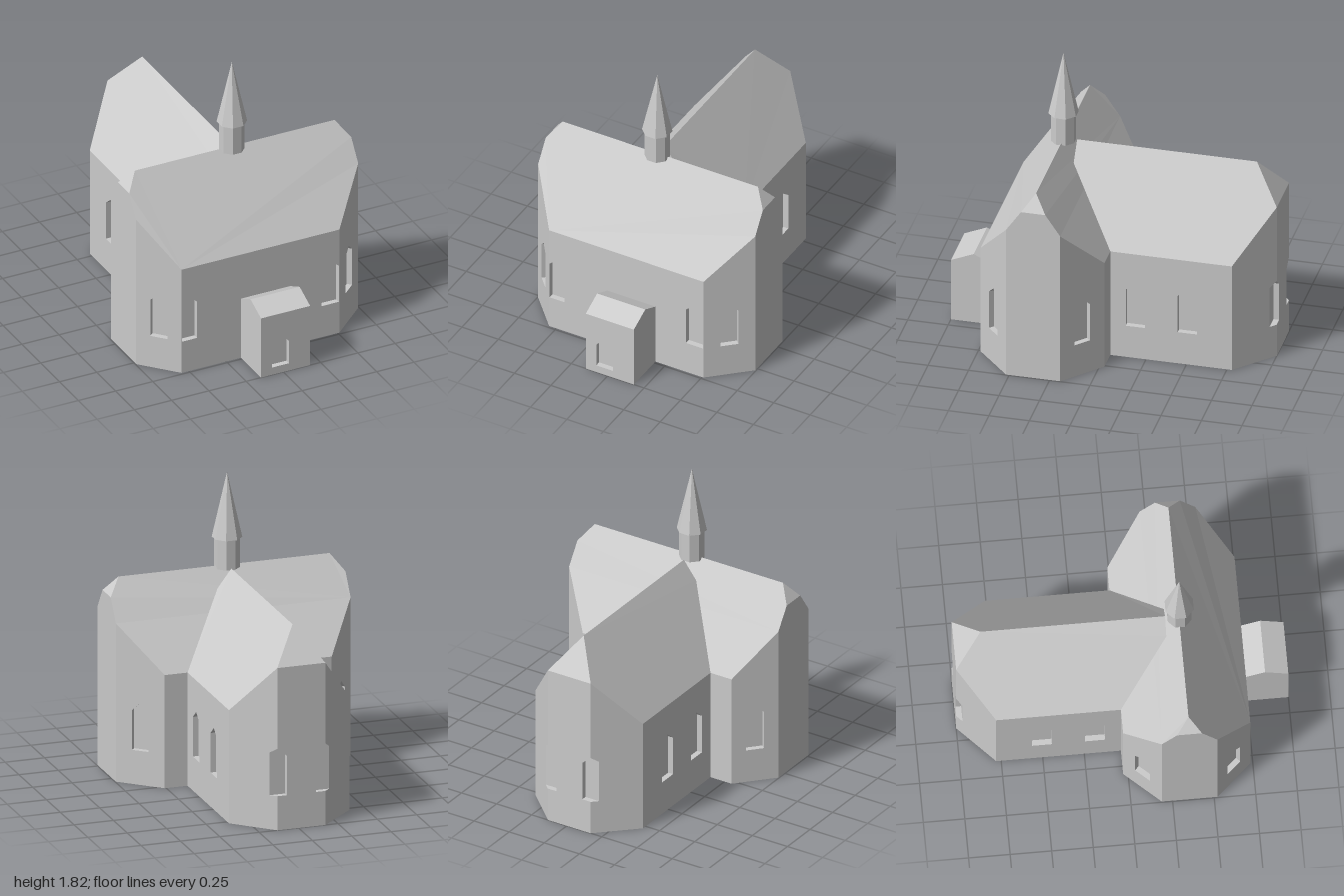
import * as THREE from 'three';

const stone = new THREE.MeshStandardMaterial({ color: 0xcccccc });
stone.name = 'pale stone';

const DEPTH = 0.035;               // window recess
const SILL = 0.215, SHOULDER = 0.465, PEAK = 0.515, HALF = 0.06;

function addMesh(group, name, geometry) {
  const mesh = new THREE.Mesh(geometry, stone);
  mesh.name = name;
  group.add(mesh);
  return mesh;
}

// Flat-shaded geometry from convex polygons, corners counter-clockwise from outside
function polygons(list) {
  const pos = [];
  for (const p of list) {
    for (let i = 1; i < p.length - 1; i++) pos.push(...p[0], ...p[i], ...p[i + 1]);
  }
  const g = new THREE.BufferGeometry();
  g.setAttribute('position', new THREE.Float32BufferAttribute(pos, 3));
  g.computeVertexNormals();
  return g;
}

// Reveals and back plate of a recess
function recess(outer, inner, closed) {
  const faces = [inner], n = outer.length;
  for (let i = 0; i < (closed ? n : n - 1); i++) {
    const j = (i + 1) % n;
    faces.push([outer[i], outer[j], inner[j], inner[i]]);
  }
  return polygons(faces);
}

function pointedArch({ u, half = HALF, sill = SILL, shoulder = SHOULDER, peak = PEAK }) {
  return [[u - half, sill], [u + half, sill], [u + half, shoulder], [u, peak], [u - half, shoulder]];
}

// Upright wall from a to b ([x, z, height], left to right from outside)
function addWall(group, name, a, b, { top = [], windows = [], notchL, notchR } = {}) {
  const dx = b[0] - a[0], dz = b[1] - a[1], L = Math.hypot(dx, dz);
  const right = new THREE.Vector3(dx / L, 0, dz / L);
  const up = new THREE.Vector3(0, 1, 0);
  const out = new THREE.Vector3().crossVectors(right, up);
  const m = new THREE.Matrix4().makeBasis(right, up, out).setPosition(a[0], 0, a[1]);
  const v2 = (pts) => pts.map(([x, y]) => new THREE.Vector2(x, y));

  const outline = [[0, 0], [L, 0]];
  if (notchR) outline.push([L, SILL], [L - notchR[0], SILL], [L - notchR[0], notchR[1]], [L, PEAK]);
  outline.push([L, b[2]], ...top, [0, a[2]]);
  if (notchL) outline.push([0, PEAK], [notchL[0], notchL[1]], [notchL[0], SILL], [0, SILL]);

  const shape = new THREE.Shape(v2(outline));
  for (const w of windows) {
    const arch = pointedArch(w);
    shape.holes.push(new THREE.Path(v2(arch)));
    const at = (d) => arch.map(([x, y]) => [x, y, d]);
    addMesh(group, name + 'Recess', recess(at(0), at(-DEPTH), true).applyMatrix4(m));
  }
  addMesh(group, name, new THREE.ShapeGeometry(shape).applyMatrix4(m));
}

const floorOf = (ring) => polygons([ring.map(([x, z]) => [x, 0, z]).reverse()]);

// Wide front hall with chamfered corners and clipped gables
function buildHall() {
  const g = new THREE.Group();
  g.name = 'hall';
  const E = 0.715, ridgeZ = 0.3525;
  const ring = [
    [-0.55, 0.735, E], [0.51, 0.735, E], [0.745, 0.52, 1], [0.745, 0.185, 1],
    [0.51, -0.03, E], [-0.55, -0.03, E], [-0.745, 0.185, 1], [-0.745, 0.52, 1],
  ];
  const gable = { top: [[0.2425, 1.135], [0.0925, 1.135]] };
  ring.forEach((a, i) => {
    const b = ring[(i + 1) % 8];
    let opts = {};
    if (i === 0) opts = { windows: [{ u: 0.054, half: 0.051 }, { u: 0.998, half: 0.058 }] };
    else if (i % 4 === 2) opts = gable;
    else if (i % 2) opts = { windows: [{ u: Math.hypot(b[0] - a[0], b[1] - a[1]) / 2, half: 0.055 }] };
    addWall(g, i === 0 ? 'frontWall' : 'hallWall', a, b, opts);
  });
  addMesh(g, 'hallFloor', floorOf(ring));

  const slope = [
    [-0.55, E, 0.735], [0.51, E, 0.735], [0.745, 1, 0.52], [0.745, 1.135, 0.4275],
    [0.67, 1.235, ridgeZ], [-0.67, 1.235, ridgeZ], [-0.745, 1.135, 0.4275], [-0.745, 1, 0.52],
  ];
  const back = slope.map(([x, y, z]) => [x, y, 2 * ridgeZ - z]).reverse();
  const hip = [[0.745, 1.135, 0.4275], [0.745, 1.135, 0.2775], [0.67, 1.235, ridgeZ]];
  const hipLeft = hip.map(([x, y, z]) => [-x, y, z]).reverse();
  addMesh(g, 'hallRoof', polygons([slope, back, hip, hipLeft]));
  return g;
}

// Long rear nave with a tapered, hipped end
function buildNave() {
  const g = new THREE.Group();
  g.name = 'nave';
  const E = 0.715, cx = -0.0175;
  const ring = [
    [0.365, -0.03, E], [0.365, -0.78, E], [0.135, -1, 1.025],
    [-0.17, -1, 1.025], [-0.4, -0.78, E], [-0.4, -0.03, E],
  ];
  const cut = 0.0366, cutY = 0.4845;
  const onBack = [HALF, SHOULDER], onChamfer = [0.0506, cutY];
  const options = [
    { windows: [{ u: 0.155 }, { u: 0.475 }] },
    { notchR: onChamfer },
    { notchL: onBack, notchR: onBack },
    { notchL: onChamfer },
    { windows: [{ u: 0.275 }, { u: 0.595 }] },
  ];
  options.forEach((o, i) => addWall(g, 'naveWall', ring[i], ring[i + 1], o));
  addMesh(g, 'naveFloor', floorOf(ring));

  // Windows wrapping the two rear corners
  for (const s of [1, -1]) {
    const P = (d, y, z) => [cx + s * (0.1525 + d), y, z];
    const zi = -1 + DEPTH;
    const outer = [P(0, SILL, -1), P(-HALF, SILL, -1), P(-HALF, SHOULDER, -1), P(0, PEAK, -1), P(cut, cutY, zi)];
    const inner = [P(cut, SILL, zi), P(-HALF, SILL, zi), P(-HALF, SHOULDER, zi), P(0, PEAK, zi), P(cut, cutY, zi)];
    if (s < 0) { outer.reverse(); inner.reverse(); }
    addMesh(g, 'cornerWindowRecess', recess(outer, inner, false));
  }

  const slope = [
    [0.365, E, -0.03], [0.365, E, -0.78], [0.135, 1.025, -1],
    [cx, 1.235, -0.84], [cx, 1.235, 0.27], [0.07, 1.12, 0.27],
  ];
  const left = slope.map(([x, y, z]) => [2 * cx - x, y, z]).reverse();
  const hip = [[0.135, 1.025, -1], [-0.17, 1.025, -1], [cx, 1.235, -0.84]];
  const end = [[-0.105, 1.12, 0.27], [0.07, 1.12, 0.27], [cx, 1.235, 0.27]];
  addMesh(g, 'naveRoof', polygons([slope, left, hip, end]));
  return g;
}

// Small entrance porch, its ridge running side to side
function buildPorch() {
  const g = new THREE.Group();
  g.name = 'porch';
  const x0 = -0.15, x1 = 0.18, zb = 0.735, zr = 0.86, y0 = 0.41, yr = 0.47;
  addWall(g, 'porchFront', [x0, 1, y0], [x1, 1, y0], {
    windows: [{ u: 0.13, half: 0.058, sill: 0.05, shoulder: 0.205, peak: 0.265 }],
  });
  addWall(g, 'porchSide', [x1, 1, y0], [x1, zb, y0], { top: [[1 - zr, yr]] });
  addWall(g, 'porchSide', [x0, zb, y0], [x0, 1, y0], { top: [[zr - zb, yr]] });
  addMesh(g, 'porchRoof', polygons([
    [[x0, y0, 1], [x1, y0, 1], [x1, yr, zr], [x0, yr, zr]],
    [[x0, yr, zr], [x1, yr, zr], [x1, y0, zb], [x0, y0, zb]],
  ]));
  addMesh(g, 'porchFloor', floorOf([[x0, 1], [x1, 1], [x1, zb], [x0, zb]]));
  return g;
}

// Eight-sided turret and spire on the ridge
function buildSteeple() {
  const g = new THREE.Group();
  g.name = 'steeple';
  const part = (name, rTop, rBottom, y0, y1) => {
    const geo = new THREE.CylinderGeometry(rTop, rBottom, y1 - y0, 8).toNonIndexed();
    geo.rotateY(Math.PI / 8).translate(0, (y0 + y1) / 2, 0);
    geo.computeVertexNormals();
    addMesh(g, name, geo);
  };
  part('turret', 0.077, 0.077, 1.22, 1.41);
  part('spire', 0, 0.092, 1.41, 1.82);
  g.position.set(-0.02, 0, 0.355);
  return g;
}

export function createModel() {
  const model = new THREE.Group();
  model.name = 'church';
  model.add(buildHall(), buildNave(), buildPorch(), buildSteeple());
  return model;
}
